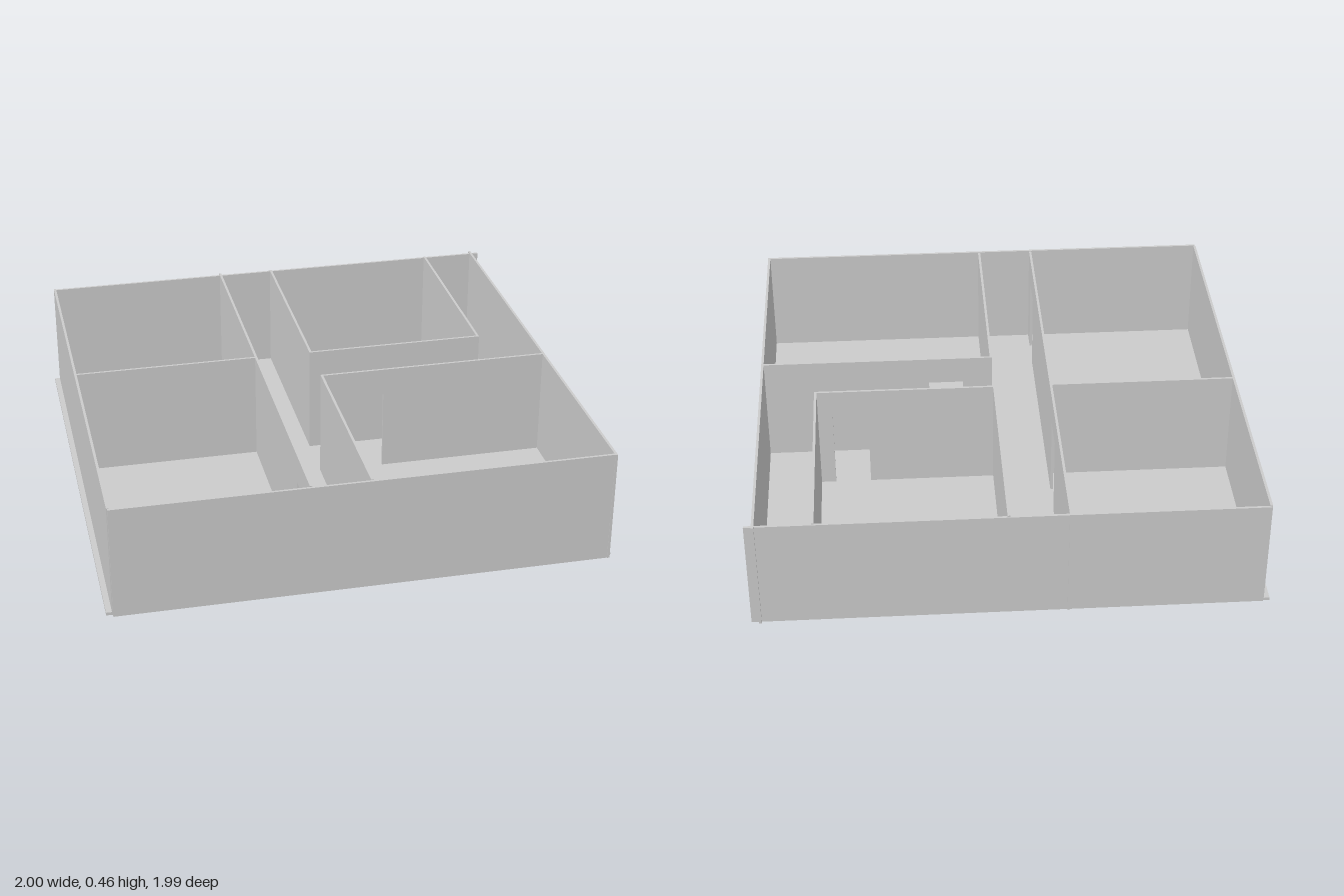
import * as THREE from 'three';

const HEIGHT = 0.46;      // wall height
const THICK = 0.01;       // wall thickness
const DOOR_TOP = 0.345;   // underside of the lintels

const material = new THREE.MeshStandardMaterial({ color: 0xcccccc, flatShading: true });

// Upright panel running from a to b, with floor-level doorways cut as notches in its outline
function panel(a, b, doors, height) {
  const s = new THREE.Shape();
  s.moveTo(a, 0);
  for (const [d0, d1] of doors) {
    s.lineTo(d0, 0);
    s.lineTo(d0, DOOR_TOP);
    s.lineTo(d1, DOOR_TOP);
    s.lineTo(d1, 0);
  }
  s.lineTo(b, 0);
  s.lineTo(b, height);
  s.lineTo(a, height);
  s.closePath();
  const g = new THREE.ExtrudeGeometry(s, { depth: THICK, bevelEnabled: false });
  return g.translate(0, 0, -THICK / 2);
}

export function createModel() {
  const model = new THREE.Group();
  model.name = 'floorPlan';

  const add = (name, geometry) => {
    const mesh = new THREE.Mesh(geometry, material);
    mesh.name = name;
    model.add(mesh);
  };
  // Wall across the plan at a fixed z, from x0 to x1
  const wallX = (name, z, x0, x1, doors = [], h = HEIGHT) =>
    add(name, panel(x0, x1, doors, h).translate(0, 0, z));
  // Wall along the plan at a fixed x, from z0 to z1 (panel is turned so its length follows z)
  const wallZ = (name, x, z0, z1, doors = [], h = HEIGHT) => {
    const flipped = doors.map(([d0, d1]) => [-d1, -d0]).reverse();
    add(name, panel(-z1, -z0, flipped, h).rotateY(Math.PI / 2).translate(x, 0, 0));
  };

  // Floor slab, reaching a little past the side walls
  add('floor', new THREE.BoxGeometry(1.975, 0.012, 1.955).translate(-0.0125, 0.006, -0.004));

  // Outer walls
  wallX('frontWall', 0.983, -0.975, 0.965);
  wallX('backWall', -0.98, -0.975, 0.995, [], 0.455);
  wallZ('rightSideWall', -0.973, -0.98, 0.975);
  wallZ('leftSideWall', 0.961, -0.995, 0.99);

  // Long corridor wall with a doorway to each room on the -x side
  wallZ('corridorWall', -0.22, -0.99, 0.973, [[-0.37, -0.23], [0.74, 0.88]]);
  wallX('roomDivider', -0.115, -0.975, -0.22);

  // Back room
  wallZ('backRoomInnerWall', 0.012, -0.98, -0.11);
  wallX('backRoomFrontWall', -0.115, 0.007, 0.745, [[0.53, 0.675]]);
  wallZ('backRoomOuterWall', 0.74, -0.98, -0.11);

  // Front room
  wallZ('frontRoomInnerWall', 0.012, 0.1, 0.975);
  wallX('frontRoomBackWall', 0.105, 0.007, 0.961, [[0.13, 0.272]]);

  return model;
}
